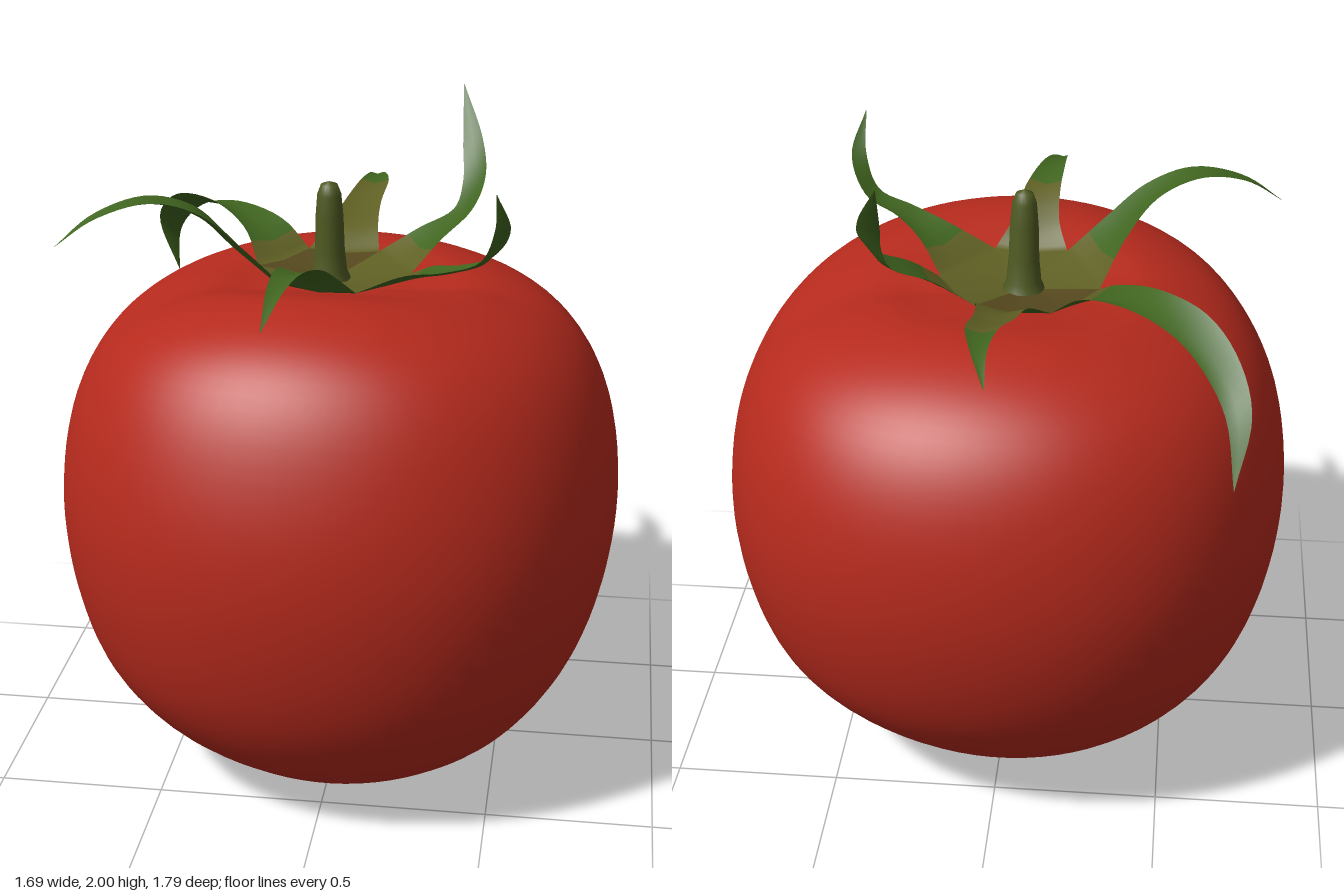
import * as THREE from 'three';
import { mergeVertices } from 'three/addons/utils/BufferGeometryUtils.js';

const V = (a) => new THREE.Vector3(...a);
const material = (name, color) => {
  const m = new THREE.MeshStandardMaterial({ color });
  m.name = name;
  return m;
};

// Lathed fruit, reshaped with soft lobes, a tilted top and grooves underneath
function makeFruit() {
  const profile = [[0, 0], [0.25, 0.012], [0.43, 0.056], [0.61, 0.17], [0.76, 0.375], [0.847, 0.61],
    [0.88, 0.87], [0.85, 1.12], [0.765, 1.325], [0.63, 1.455], [0.43, 1.524], [0.25, 1.51], [0.1, 1.49], [0, 1.485]];
  const curve = new THREE.SplineCurve(profile.map((p) => new THREE.Vector2(...p)));
  const points = curve.getPoints(64);
  points.forEach((p) => { p.x = Math.max(0, p.x); });
  points[0].x = points[64].x = 0;
  let g = new THREE.LatheGeometry(points, 80);
  const pos = g.attributes.position;
  const smooth = THREE.MathUtils.smoothstep;
  for (let i = 0; i < pos.count; i++) {
    const x = pos.getX(i), y = pos.getY(i), z = pos.getZ(i);
    const r = Math.hypot(x, z), a = Math.atan2(x, z), h = y / 1.55;
    const low = 1 - smooth(y, 0, 0.6), high = smooth(y, 1.1, 1.5), out = smooth(r, 0, 0.38);
    const groove = ((1 - Math.sin(2 * a)) / 2) ** 2, ridge = ((1 + Math.sin(2 * a)) / 2) ** 2;
    const crease = Math.exp(-(((a - 1.7) / 0.22) ** 2)) + Math.exp(-(((a + 1.3) / 0.25) ** 2));
    const s = (1.007 + 0.028 * Math.cos(2 * a) - 0.016 * Math.cos(4 * a)) * (1 + 0.02 * groove * low);
    const lift = high * out * (0.025 * Math.cos(2 * a) + 0.023 * Math.cos(a) - 0.015 * crease);
    pos.setXYZ(i, x * s - 0.02 * h ** 4 * (1 - r), y + lift + (0.06 * groove + 0.025 * ridge) * low * out,
      z * s + 0.06 * Math.max(0, 1 - h) ** 3);
  }
  g.deleteAttribute('uv');
  g.deleteAttribute('normal');
  g = mergeVertices(g, 1e-5);
  g.computeVertexNormals();
  return g;
}

// One sepal: fans out from the centre to two notches, then follows a tapering path.
// Returns the upper face, grouped by colour, and the underside.
function makeSepal(center, left, right, { path, widths, share, twist = 0 }) {
  const mid = left.clone().add(right).multiplyScalar(0.5);
  mid.y -= 0.01;
  const rails = [[left], [mid], [right]];
  const up = new THREE.Vector3(0, 1, 0);
  const spine = path.map(V);
  spine.forEach((p, i) => {
    const dir = spine[Math.min(i + 1, spine.length - 1)].clone().sub(i ? spine[i - 1] : mid).normalize();
    const side = dir.clone().cross(up).normalize().multiplyScalar(widths[i] / 2);
    side.applyAxisAngle(dir, twist * Math.min(1, i / 2));
    const edge = new THREE.Vector3(0, widths[i] * 0.15, 0);
    rails[0].push(p.clone().sub(side).add(edge));
    rails[1].push(p);
    rails[2].push(p.clone().add(side).add(edge));
  });
  const curves = rails.map((r) => new THREE.CatmullRomCurve3(r));
  const rows = 28, verts = [], index = [];
  for (let c = 0; c < 3; c++) verts.push(...center.toArray());
  for (let i = 0; i <= rows; i++) curves.forEach((c) => verts.push(...c.getPoint(i / rows).toArray()));
  for (let i = 0; i <= rows; i++) {
    for (let c = 0; c < 2; c++) {
      const a = i * 3 + c, b = a + 1, d = a + 3, e = a + 4;
      index.push(a, b, e, a, e, d);
    }
  }
  const surface = (order) => {
    const g = new THREE.BufferGeometry();
    g.setAttribute('position', new THREE.Float32BufferAttribute(verts, 3));
    g.setIndex(order);
    g.computeVertexNormals();
    return g;
  };
  const upper = surface(index);
  const under = surface([...index].reverse());
  // Base fan, olive inner part and green tip
  const split = 12 * (1 + Math.round(rows * share));
  upper.addGroup(0, 12, 0);
  upper.addGroup(12, split - 12, 1);
  upper.addGroup(split, index.length - split, 2);
  return { upper, under };
}

export function createModel() {
  const red = material('tomato red', 0xb62a1d);
  const green = material('leaf green', 0x40651f);
  const olive = material('olive green', 0x5f6024);
  const brown = material('olive brown', 0x56491f);
  const stemGreen = material('stem green', 0x4f5a22);
  const model = new THREE.Group();
  model.name = 'tomato';
  const add = (name, geometry, mat, parent = model) => {
    const mesh = new THREE.Mesh(geometry, mat);
    mesh.name = name;
    parent.add(mesh);
  };
  add('fruit', makeFruit(), red);

  // Calyx: six sepals sharing the notches between them
  const calyx = new THREE.Group();
  calyx.name = 'calyx';
  model.add(calyx);
  const center = V([-0.04, 1.5, -0.03]);
  const notches = [[-0.14, 1.53, -0.24], [0.08, 1.535, -0.22], [0.2, 1.53, -0.03],
    [0.06, 1.53, 0.18], [-0.16, 1.54, 0.16], [-0.27, 1.525, -0.06]].map(V);
  const sepals = [
    { name: 'backSepal', base: brown, share: 0.6, widths: [0.15, 0.115, 0.09, 0.045, 0.002],
      path: [[-0.01, 1.57, -0.33], [0, 1.61, -0.47], [0.02, 1.645, -0.6], [0.015, 1.645, -0.72], [-0.01, 1.605, -0.84]] },
    { name: 'backLeftSepal', base: olive, share: 0.15, twist: -0.5, widths: [0.15, 0.1, 0.085, 0.065, 0.002],
      path: [[0.24, 1.59, -0.17], [0.335, 1.66, -0.24], [0.362, 1.74, -0.3], [0.35, 1.84, -0.38], [0.31, 2, -0.5]] },
    { name: 'frontLeftSepal', base: olive, share: 0.15, widths: [0.14, 0.09, 0.065, 0.045, 0.002],
      path: [[0.24, 1.575, 0.15], [0.34, 1.615, 0.22], [0.44, 1.66, 0.25], [0.487, 1.765, 0.3], [0.47, 1.89, 0.36]] },
    { name: 'frontSepal', base: olive, share: 0.45, widths: [0.14, 0.11, 0.08, 0.05, 0.002],
      path: [[-0.06, 1.58, 0.25], [-0.07, 1.64, 0.36], [-0.09, 1.67, 0.48], [-0.105, 1.66, 0.6], [-0.12, 1.6, 0.75]] },
    { name: 'frontRightSepal', base: olive, share: 0.1, widths: [0.15, 0.11, 0.09, 0.055, 0.002],
      path: [[-0.31, 1.63, 0.11], [-0.41, 1.735, 0.15], [-0.54, 1.78, 0.2], [-0.69, 1.745, 0.26], [-0.8, 1.67, 0.3]] },
    { name: 'backRightSepal', base: brown, share: 0.1, twist: 0.4, widths: [0.15, 0.12, 0.115, 0.1, 0.07, 0.002],
      path: [[-0.28, 1.58, -0.24], [-0.41, 1.62, -0.35], [-0.54, 1.6, -0.46], [-0.625, 1.535, -0.56],
        [-0.675, 1.44, -0.66], [-0.67, 1.28, -0.75]] },
  ];
  sepals.forEach((s, i) => {
    const { upper, under } = makeSepal(center, notches[i], notches[(i + 1) % 6], s);
    add(s.name, upper, [s.base, olive, green], calyx);
    add(s.name + 'Underside', under, green, calyx);
  });

  // Stem: flared foot and rounded tip, leaning slightly
  const outline = [[0.065, 0], [0.052, 0.03], [0.045, 0.1], [0.042, 0.2], [0.036, 0.27], [0.025, 0.3], [0, 0.31]];
  const stem = new THREE.LatheGeometry(outline.map((p) => new THREE.Vector2(...p)), 20);
  stem.rotateX(0.06);
  stem.translate(-0.045, 1.5, -0.03);
  add('stem', stem, stemGreen);
  return model;
}
